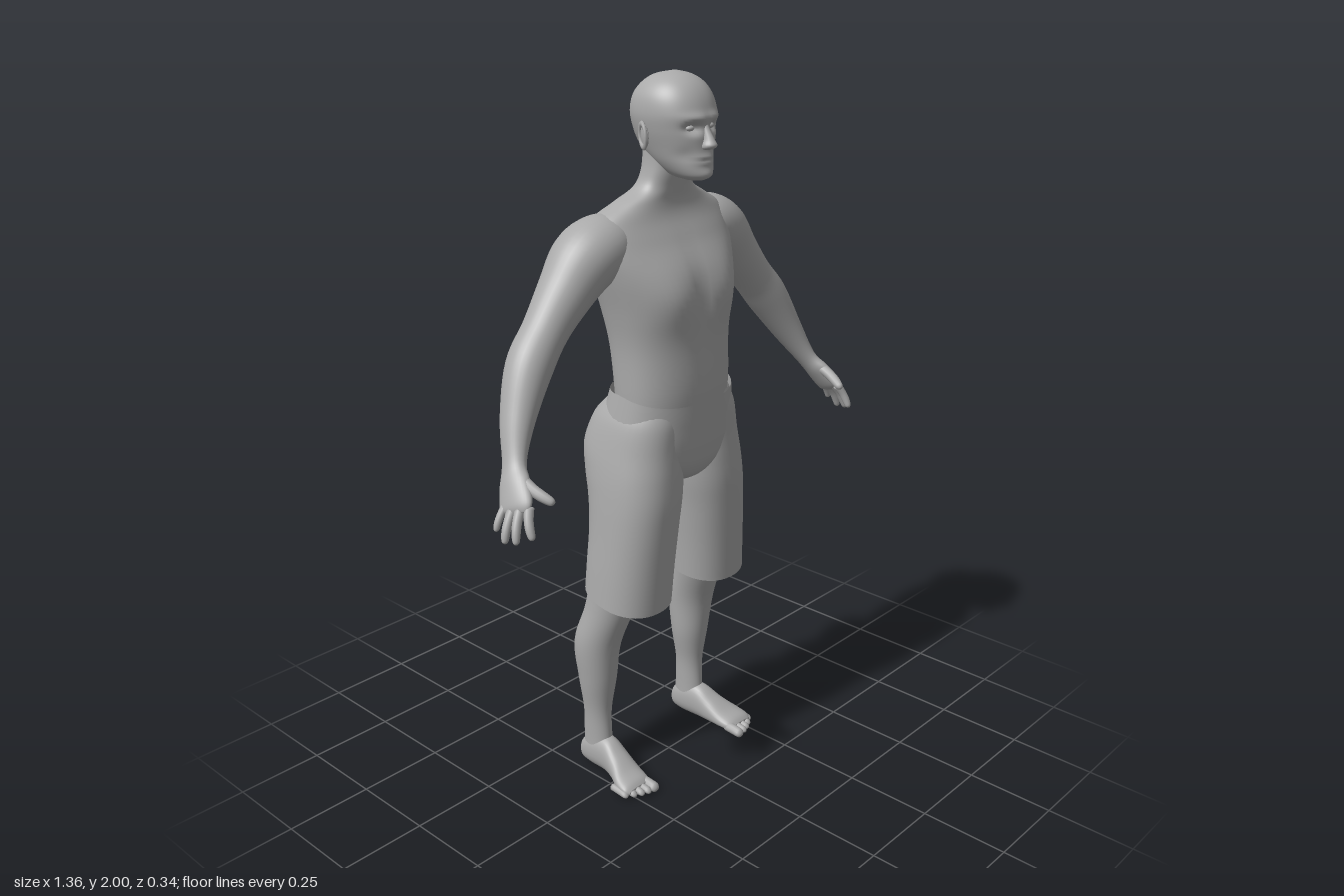
import * as THREE from 'three';

const V = (x, y, z) => new THREE.Vector3(x, y, z);
const UP = V(0, 1, 0), DOWN = V(0, -1, 0), FWD = V(0, 0, 1);
const bell = (d, s) => Math.exp(-(d * d) / (s * s));
const clamp = (t) => Math.min(1, Math.max(0, t));

// Smooth curve through the rows, value by value
function sample(rows, t) {
  const i = Math.min(Math.floor(t), rows.length - 2), f = t - i;
  const at = (k) => rows[Math.min(rows.length - 1, Math.max(0, k))];
  return rows[0].map((_, k) => {
    const a = at(i - 1)[k], b = at(i)[k], c = at(i + 1)[k], d = at(i + 2)[k];
    return b + 0.5 * f * (c - a + f * (2 * a - 5 * b + 4 * c - d + f * (3 * (b - c) + d - a)));
  });
}

// Skin over cross-sections [x, y, z, halfWidth, halfDepth].
// dir fixes the ring plane; without it rings follow the path.
function loft(rows, { dir = null, ref = FWD, segs = 32, steps = 6, n = 2, open = false, warp = null, side = 1 } = {}) {
  const count = (rows.length - 1) * steps, pos = [], idx = [];
  const pow = (v) => Math.sign(v) * Math.pow(Math.abs(v), 2 / n);
  const put = (p) => { if (warp) warp(p); pos.push(p.x * side, p.y, p.z); };
  const tri = (a, b, c) => (side > 0 ? idx.push(a, b, c) : idx.push(a, c, b));
  const centre = (t) => V(...sample(rows, t).slice(0, 3));
  for (let j = 0; j <= count; j++) {
    const t = j / steps, s = sample(rows, t), c = V(s[0], s[1], s[2]);
    const T = dir || centre(Math.min(t + 0.1, rows.length - 1)).sub(centre(Math.max(t - 0.1, 0))).normalize();
    const B = ref.clone().addScaledVector(T, -ref.dot(T)).normalize();
    const A = B.clone().cross(T);
    for (let i = 0; i < segs; i++) {
      const q = (i / segs) * Math.PI * 2;
      put(c.clone().addScaledVector(A, pow(Math.cos(q)) * Math.max(s[3], 0.001))
        .addScaledVector(B, pow(Math.sin(q)) * Math.max(s[4], 0.001)));
      if (j < count) {
        const a = j * segs + i, b = j * segs + (i + 1) % segs;
        tri(a, b, a + segs);
        tri(b, b + segs, a + segs);
      }
    }
  }
  if (!open) {
    const k = pos.length / 3, last = count * segs;
    put(centre(0));
    put(centre(rows.length - 1));
    for (let i = 0; i < segs; i++) {
      const m = (i + 1) % segs;
      tri(k, m, i);
      tri(k + 1, last + i, last + m);
    }
  }
  const g = new THREE.BufferGeometry();
  g.setAttribute('position', new THREE.Float32BufferAttribute(pos, 3));
  g.setIndex(idx);
  g.computeVertexNormals();
  return g;
}

// Horizontal section from height, centre x, half width, front z and back z
const slab = ([y, x, a, f, b]) => [x, y, (f + b) / 2, a, (f - b) / 2];

export function createModel() {
  const model = new THREE.Group();
  const grey = new THREE.MeshStandardMaterial({ color: 0xaaaaaa, side: THREE.DoubleSide });
  grey.name = 'plain grey';
  const add = (name, geo) => {
    const m = new THREE.Mesh(geo, grey);
    m.name = name;
    model.add(m);
    return m;
  };
  const pair = (name, rows, opts) => {
    add('left' + name, loft(rows, opts));
    add('right' + name, loft(rows, { ...opts, side: -1 }));
  };

  // Torso and neck, with chest muscles, shoulder blades and spine groove
  add('torso', loft([
    [1.05, 0, 0.172, 0.115, -0.1], [1.17, 0, 0.178, 0.128, -0.105], [1.3, 0, 0.183, 0.125, -0.12],
    [1.4, 0, 0.2, 0.124, -0.138], [1.5, 0, 0.226, 0.108, -0.152], [1.58, 0, 0.245, 0.066, -0.15],
    [1.635, 0, 0.225, 0.038, -0.13], [1.675, 0, 0.155, 0.03, -0.1], [1.71, 0, 0.09, 0.035, -0.077],
    [1.76, 0, 0.07, 0.045, -0.063], [1.84, 0, 0.066, 0.045, -0.06],
  ].map(slab), {
    dir: UP, segs: 64, n: 2.3, warp: (p) => {
      const front = clamp(p.z / 0.08), back = clamp(-p.z / 0.08), x = Math.abs(p.x);
      p.z += front * (0.016 * bell(x - 0.1, 0.075) * bell(p.y - 1.44, 0.07) - 0.006 * bell(x, 0.02) * bell(p.y - 1.4, 0.15));
      p.z += back * (0.018 * bell(x, 0.03) * bell(p.y - 1.38, 0.2) - 0.012 * bell(x - 0.11, 0.06) * bell(p.y - 1.5, 0.09));
    },
  }));

  // Head with brow, eye sockets, cheeks, lips and chin
  add('head', loft([
    [1.736, 0, 0.022, 0.115, 0.06], [1.748, 0, 0.046, 0.132, 0.01], [1.78, 0, 0.067, 0.132, -0.04],
    [1.82, 0, 0.082, 0.13, -0.078], [1.86, 0, 0.094, 0.13, -0.094], [1.9, 0, 0.1, 0.129, -0.1],
    [1.94, 0, 0.094, 0.116, -0.09], [1.97, 0, 0.075, 0.094, -0.066], [1.99, 0, 0.045, 0.063, -0.033],
    [2.0, 0, 0.004, 0.024, 0.016],
  ].map(slab), {
    dir: UP, segs: 72, steps: 8, n: 2.15, warp: (p) => {
      const f = clamp(p.z / 0.06), x = Math.abs(p.x);
      p.z += f * (0.007 * bell(p.y - 1.893, 0.012) * bell(x - 0.03, 0.035) - 0.02 * bell(x - 0.038, 0.02) * bell(p.y - 1.868, 0.013)
        + 0.006 * bell(p.y - 1.79, 0.012) * bell(x, 0.03) - 0.007 * bell(p.y - 1.788, 0.004) * bell(x, 0.028)
        + 0.005 * bell(p.y - 1.752, 0.014) * bell(x, 0.025) - 0.006 * bell(x - 0.055, 0.02) * bell(p.y - 1.8, 0.02));
    },
  }));
  add('nose', loft([
    [0, 1.885, 0.118, 0.007, 0.008], [0, 1.865, 0.124, 0.009, 0.011], [0, 1.84, 0.133, 0.013, 0.018],
    [0, 1.826, 0.136, 0.019, 0.022], [0, 1.817, 0.132, 0.016, 0.016], [0, 1.813, 0.128, 0.003, 0.004],
  ], { dir: DOWN, segs: 20 }));
  for (const s of [1, -1]) {
    const side = s > 0 ? 'left' : 'right';
    const eye = add(side + 'Eye', new THREE.SphereGeometry(0.013, 16, 12));
    eye.position.set(s * 0.037, 1.868, 0.101);
    eye.scale.set(1.1, 0.65, 1);
    // Ear: flat bowl with a raised rim
    const ear = new THREE.Group();
    ear.name = side + 'Ear';
    const bowl = new THREE.Mesh(new THREE.SphereGeometry(0.02, 16, 12), grey);
    bowl.name = 'earBowl';
    bowl.scale.set(1, 1.55, 0.35);
    const rim = new THREE.Mesh(new THREE.TorusGeometry(0.018, 0.005, 8, 24), grey);
    rim.name = 'earRim';
    rim.scale.set(1, 1.6, 1);
    rim.position.z = 0.005;
    ear.add(bowl, rim);
    ear.position.set(s * 0.101, 1.848, 0.01);
    ear.rotation.set(-0.1, s * (Math.PI / 2 + 0.4), 0);
    model.add(ear);
  }

  // Arms run from inside the shoulder to the knuckles
  pair('Arm', [
    [0.13, 1.585, -0.055, 0.06, 0.07], [0.19, 1.575, -0.055, 0.083, 0.088], [0.255, 1.543, -0.058, 0.088, 0.09],
    [0.325, 1.475, -0.056, 0.073, 0.073], [0.4, 1.395, -0.05, 0.06, 0.06], [0.468, 1.315, -0.04, 0.06, 0.06],
    [0.535, 1.205, -0.012, 0.042, 0.047], [0.583, 1.115, 0.025, 0.025, 0.034], [0.61, 1.07, 0.055, 0.023, 0.046],
    [0.632, 1.03, 0.082, 0.018, 0.05], [0.64, 1.015, 0.09, 0.008, 0.034],
  ], {});

  // Fingers and thumb: base, tip, radius
  const digits = {
    Thumb: [[0.6, 1.085, 0.075], [0.579, 1.045, 0.162], 0.015],
    IndexFinger: [[0.622, 1.035, 0.117], [0.642, 0.965, 0.15], 0.012],
    MiddleFinger: [[0.632, 1.03, 0.097], [0.668, 0.952, 0.119], 0.012],
    RingFinger: [[0.637, 1.025, 0.075], [0.675, 0.947, 0.085], 0.012],
    LittleFinger: [[0.635, 1.03, 0.05], [0.672, 0.968, 0.05], 0.01],
  };
  for (const [name, [base, tip, r]] of Object.entries(digits)) {
    const rows = [[0, 1.1], [0.35, 1], [0.65, 0.95], [0.9, 0.75], [0.98, 0.4], [1, 0.1]].map(([t, k]) => {
      const p = V(...base).lerp(V(...tip), t);
      return [p.x + 0.006 * Math.sin(t * Math.PI), p.y, p.z, r * k, r * k];
    });
    pair(name, rows, { segs: 12, steps: 3, ref: V(1, 0, 0) });
  }

  // Shorts: waist part, then two open legs with a hem raised at the back
  add('shortsWaist', loft([
    [1.18, 0, 0.188, 0.137, -0.118], [1.1, 0, 0.2, 0.134, -0.138], [1.02, 0, 0.212, 0.128, -0.14],
    [0.96, 0, 0.16, 0.118, -0.11], [0.92, 0, 0.07, 0.09, -0.07], [0.9, 0, 0.01, 0.02, -0.02],
  ].map(slab), {
    dir: DOWN, segs: 56, n: 2.3, open: true,
    warp: (p) => { p.y -= 0.03 * clamp(p.z / 0.13) * clamp((p.y - 1.08) / 0.1); },
  }));
  pair('ShortsLeg', [
    [1.15, 0.088, 0.09, 0.11, -0.105], [1.1, 0.1, 0.103, 0.118, -0.148], [1.02, 0.111, 0.113, 0.118, -0.174],
    [0.95, 0.12, 0.117, 0.122, -0.16], [0.88, 0.128, 0.117, 0.124, -0.14], [0.8, 0.137, 0.115, 0.12, -0.128],
    [0.68, 0.147, 0.115, 0.112, -0.128], [0.56, 0.154, 0.116, 0.105, -0.13],
  ].map(slab), {
    dir: DOWN, segs: 40, n: 2.25, open: true,
    warp: (p) => { p.y += 0.05 * clamp((0.105 - p.z) / 0.235) * clamp((0.75 - p.y) / 0.19); },
  });

  // Legs with knee and calf
  pair('Leg', [
    [0.9, 0.14, 0.085, 0.08, -0.1], [0.72, 0.165, 0.08, 0.06, -0.11], [0.55, 0.185, 0.069, 0.022, -0.125],
    [0.42, 0.2, 0.064, -0.022, -0.163], [0.3, 0.199, 0.054, -0.04, -0.154], [0.2, 0.2, 0.038, -0.054, -0.143],
    [0.12, 0.2, 0.034, -0.052, -0.145], [0.05, 0.2, 0.034, -0.045, -0.148],
  ].map(slab), { dir: DOWN });

  // Feet, heel to ball, then five toes
  pair('Foot', [
    [0.2, 0.04, -0.156, 0.008, 0.012], [0.2, 0.043, -0.148, 0.026, 0.034], [0.2, 0.055, -0.11, 0.036, 0.052],
    [0.202, 0.057, -0.05, 0.036, 0.054], [0.21, 0.042, 0, 0.042, 0.04], [0.222, 0.028, 0.045, 0.051, 0.026],
    [0.227, 0.021, 0.08, 0.05, 0.018], [0.228, 0.017, 0.095, 0.038, 0.009],
  ], { dir: FWD, ref: UP, n: 2.3 });
  for (let i = 0; i < 5; i++) {
    const x = 0.19 + i * 0.02 + (i ? 0.004 : 0), tip = 0.13 - 0.002 * i - 0.0018 * i * i, r = i ? 0.0105 : 0.015;
    pair('Toe' + (i + 1), [
      [x, 0.018, tip - 0.06, r, r], [x, 0.016, tip - 0.03, r, r], [x, 0.014, tip - 0.01, r, r * 0.9],
      [x, 0.012, tip - 0.002, r * 0.6, r * 0.5], [x, 0.012, tip, 0.001, 0.001],
    ], { dir: FWD, ref: UP, segs: 12, steps: 3 });
  }
  return model;
}
